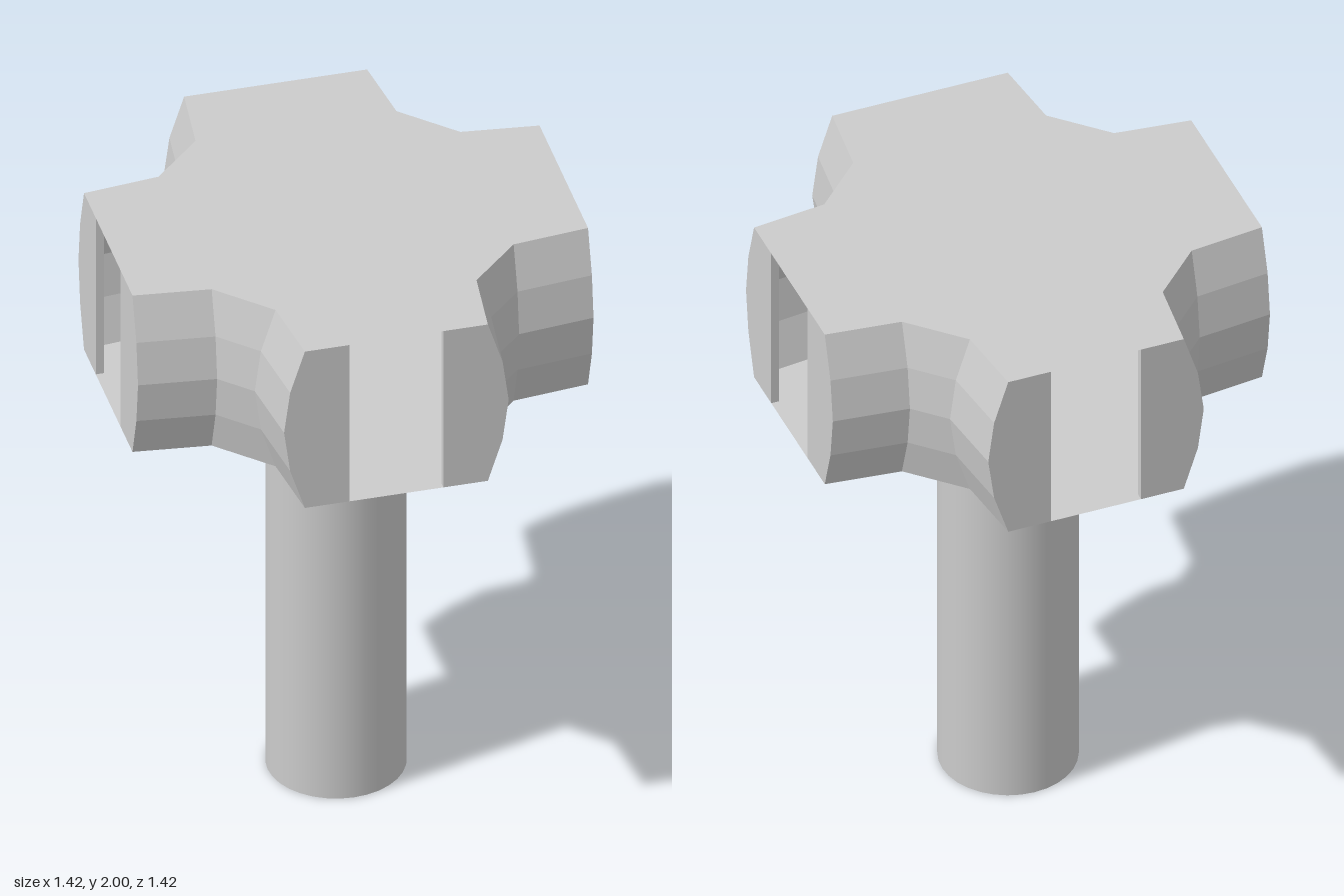
import * as THREE from 'three';

const BOTTOM = 1.43, TOP = 2, HALF = 0.712, SLOT = 0.147, SHEET = 0.025;
// Height and outward bulge of each level of the grip walls
const LEVELS = [0, 0.046, 0.065, 0.046, 0].map((bulge, i) => ({ y: BOTTOM + (TOP - BOTTOM) * i / 4, bulge }));

// One notch seen from above as [x, z], from the front arm to the left arm
const notch = (b) => [[0.286 + b, HALF], [0.314 + b, 0.472], [0.472, 0.314 + b], [HALF, 0.286 + b]];

// Curved notch wall lofted through the levels
function notchWall() {
  const pos = [], index = [];
  for (const { y, bulge } of LEVELS) for (const [x, z] of notch(bulge)) pos.push(x, y, z);
  for (let j = 0; j < LEVELS.length - 1; j++) {
    for (let i = 0; i < 3; i++) {
      const a = j * 4 + i, c = a + 4;
      index.push(a, a + 1, c + 1, a, c + 1, c);
    }
  }
  const g = new THREE.BufferGeometry();
  g.setAttribute('position', new THREE.Float32BufferAttribute(pos, 3));
  g.setIndex(index);
  const flat = g.toNonIndexed();
  flat.computeVertexNormals();
  return flat;
}

// Thin end panel beside the open slot of an arm
function endPanel(side) {
  const pts = [[SLOT, BOTTOM], ...LEVELS.map((l) => [0.286 + l.bulge, l.y]), [SLOT, TOP]];
  const shape = new THREE.Shape(pts.map(([x, y]) => new THREE.Vector2(side * x, y)));
  const g = new THREE.ExtrudeGeometry(shape, { depth: SHEET, bevelEnabled: false });
  return g.translate(0, 0, HALF - SHEET);
}

// Cross-shaped plate closing the hollow head
function crossPlate() {
  const pts = [];
  for (let k = 0; k < 4; k++) {
    for (let [x, z] of notch(0)) {
      for (let r = 0; r < k; r++) [x, z] = [z, -x];
      pts.push(new THREE.Vector2(x, z));
    }
  }
  return new THREE.ShapeGeometry(new THREE.Shape(pts)).rotateX(Math.PI / 2);
}

export function createModel() {
  const model = new THREE.Group();
  const shell = new THREE.MeshStandardMaterial({ color: 0xcccccc, flatShading: true, side: THREE.DoubleSide });
  const smooth = new THREE.MeshStandardMaterial({ color: 0xcccccc });
  const add = (parent, name, geometry, material) => {
    const mesh = new THREE.Mesh(geometry, material);
    mesh.name = name;
    parent.add(mesh);
    return mesh;
  };

  // Stem
  add(model, 'stem', new THREE.CylinderGeometry(0.214, 0.214, BOTTOM, 32), smooth).position.y = BOTTOM / 2;

  // Hollow head with four slotted arms
  const head = new THREE.Group();
  head.name = 'head';
  model.add(head);
  const plate = crossPlate(), wall = notchWall(), panels = [endPanel(-1), endPanel(1)];
  add(head, 'topPlate', plate, shell).position.y = TOP;
  add(head, 'bottomPlate', plate, shell).position.y = BOTTOM;
  for (let k = 0; k < 4; k++) {
    const arm = new THREE.Group();
    arm.name = 'arm';
    arm.rotation.y = k * Math.PI / 2;
    add(arm, 'notchWall', wall, shell);
    for (const panel of panels) add(arm, 'endPanel', panel, shell);
    head.add(arm);
  }
  return model;
}
